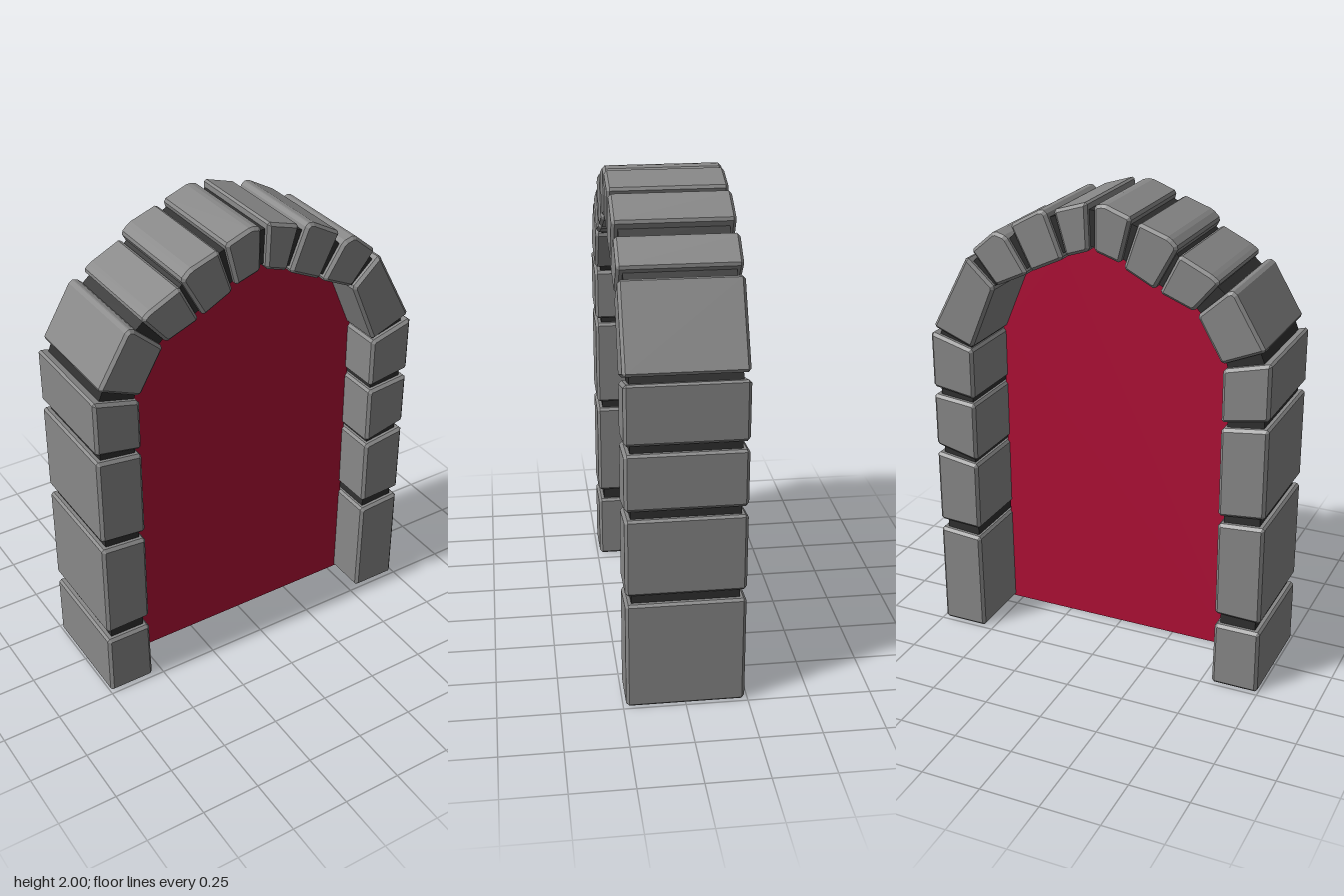
import * as THREE from 'three';

const DEPTH = 0.476;
const BEVEL = 0.012;

// Each stone: outer start, outer end, inner end, inner start, optional outer ridge point.
// The list runs from the foot of the right-hand pillar (-x) over the arch to the other foot.
const STONES = [
  [[-0.745, 0], [-0.745, 0.285], [-0.55, 0.285], [-0.545, 0]],
  [[-0.745, 0.33], [-0.745, 0.765], [-0.55, 0.75], [-0.55, 0.335]],
  [[-0.745, 0.805], [-0.745, 1.19], [-0.55, 1.165], [-0.55, 0.785]],
  [[-0.745, 1.225], [-0.745, 1.46], [-0.55, 1.41], [-0.55, 1.19]],
  [[-0.72, 1.505], [-0.565, 1.725], [-0.44, 1.61], [-0.545, 1.43], [-0.59, 1.722]],
  [[-0.53, 1.75], [-0.365, 1.84], [-0.285, 1.68], [-0.425, 1.625], [-0.5, 1.775]],
  [[-0.36, 1.865], [-0.198, 1.945], [-0.135, 1.757], [-0.265, 1.69], [-0.325, 1.9]],
  [[-0.168, 1.958], [-0.012, 1.99], [-0.012, 1.81], [-0.122, 1.775], [-0.055, 2]],
  [[0.018, 2], [0.16, 1.955], [0.108, 1.775], [0.01, 1.808]],
  [[0.195, 1.945], [0.352, 1.875], [0.262, 1.695], [0.122, 1.762], [0.22, 1.95]],
  [[0.372, 1.825], [0.53, 1.75], [0.42, 1.615], [0.28, 1.682], [0.425, 1.84]],
  [[0.555, 1.72], [0.725, 1.4], [0.545, 1.33], [0.43, 1.605]],
  [[0.74, 1.375], [0.74, 1.13], [0.545, 1.1], [0.545, 1.32]],
  [[0.74, 1.095], [0.74, 0.862], [0.545, 0.815], [0.545, 1.075]],
  [[0.74, 0.825], [0.74, 0.5], [0.545, 0.49], [0.545, 0.795]],
  [[0.74, 0.46], [0.74, 0], [0.54, 0], [0.545, 0.445]],
].map((stone) => stone.map(([x, y]) => new THREE.Vector2(x, y)));

// Cut a small flat off every corner of an outline
function chamfer(points, size) {
  return points.flatMap((p, i) => {
    const before = points[(i + points.length - 1) % points.length];
    const after = points[(i + 1) % points.length];
    return [before, after].map((q) =>
      p.clone().lerp(q, Math.min(0.4, size / p.distanceTo(q))));
  });
}

// Prism centred on z = 0, with optional bevelled front and back edges
function prism(points, depth, bevel) {
  const geometry = new THREE.ExtrudeGeometry(new THREE.Shape(points), {
    depth: depth - 2 * bevel,
    bevelEnabled: bevel > 0,
    bevelThickness: bevel,
    bevelSize: bevel,
    bevelOffset: -bevel,
    bevelSegments: 1,
  });
  return geometry.translate(0, 0, bevel - depth / 2);
}

export function createModel() {
  const group = new THREE.Group();
  const stoneGrey = new THREE.MeshStandardMaterial({ color: 0x888888 });
  stoneGrey.name = 'stoneGrey';
  const mortarDark = new THREE.MeshStandardMaterial({ color: 0x303030 });
  mortarDark.name = 'mortarDark';
  const panelRed = new THREE.MeshStandardMaterial({ color: 0xb00f36, side: THREE.DoubleSide });
  panelRed.name = 'panelRed';

  const add = (name, geometry, material) => {
    const mesh = new THREE.Mesh(geometry, material);
    mesh.name = name;
    group.add(mesh);
    return mesh;
  };

  // Bevelled stones
  STONES.forEach(([outerA, outerB, innerB, innerA, ridge], i) => {
    const outline = ridge
      ? [outerA, ridge, outerB, innerB, innerA]
      : [outerA, outerB, innerB, innerA];
    add(`stone${i + 1}`, prism(chamfer(outline, 0.01), DEPTH, BEVEL), stoneGrey);
  });

  // Recessed mortar joints, reaching a little way into both neighbours
  for (let i = 0; i < STONES.length - 1; i++) {
    const [a0, a1, a2, a3] = STONES[i];
    const [b0, b1, b2, b3] = STONES[i + 1];
    const outerA = a1.clone().lerp(a0, 0.12);
    const innerA = a2.clone().lerp(a3, 0.12);
    const outerB = b0.clone().lerp(b1, 0.12);
    const innerB = b3.clone().lerp(b2, 0.12);
    const outline = [
      outerA.clone().lerp(innerA, 0.13), outerB.clone().lerp(innerB, 0.13),
      innerB.clone().lerp(outerB, 0.1), innerA.clone().lerp(outerA, 0.1),
    ];
    add(`mortarJoint${i + 1}`, prism(outline, DEPTH - 0.05, 0), mortarDark);
  }

  // Flat panel filling the opening, tucked slightly into the stones
  const opening = [
    [-0.55, 0], [0.55, 0], [0.555, 1.33], [0.435, 1.62], [0.27, 1.7], [0.115, 1.78],
    [0, 1.82], [-0.13, 1.78], [-0.275, 1.695], [-0.445, 1.625], [-0.56, 1.43],
  ].map(([x, y]) => new THREE.Vector2(x, y));
  const panel = add('doorPanel', new THREE.ShapeGeometry(new THREE.Shape(opening)), panelRed);
  panel.position.z = 0.06;

  return group;
}
